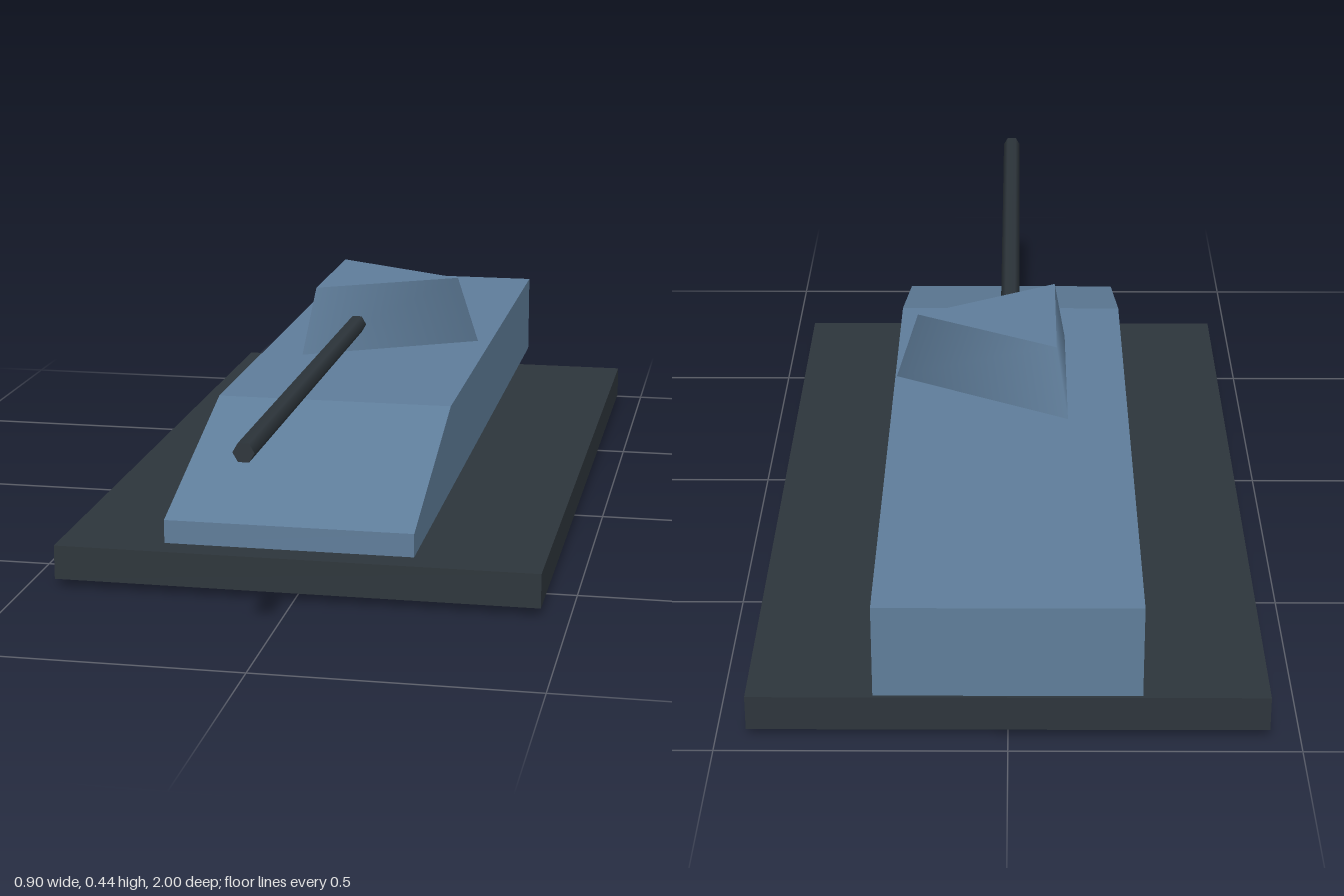
import * as THREE from 'three';

const material = (name, color) => {
  const m = new THREE.MeshStandardMaterial({ color });
  m.name = name;
  return m;
};

export function createModel() {
  const model = new THREE.Group();
  model.name = 'hoverTank';

  const blue = material('armour blue', 0x5f7d9a);
  const dark = material('dark steel', 0x2d353b);
  const teal = material('hover teal', 0x7fbccf);

  const add = (name, geometry, mat, x, y, z) => {
    const mesh = new THREE.Mesh(geometry, mat);
    mesh.name = name;
    mesh.position.set(x, y, z);
    model.add(mesh);
    return mesh;
  };

  // Box given by its width and its y and z ranges
  const addBox = (name, mat, width, y0, y1, z0, z1) =>
    add(name, new THREE.BoxGeometry(width, y1 - y0, z1 - z0), mat, 0, (y0 + y1) / 2, (z0 + z1) / 2);

  // Hover pad and the wide skirt above it
  addBox('hoverPad', teal, 0.717, 0, 0.015, -0.88, 0.552);
  addBox('skirt', dark, 0.896, 0.015, 0.079, -0.957, 0.628);

  // Hull: side profile with a sloped nose, extruded across x
  const hullWidth = 0.454;
  const profile = new THREE.Shape(
    [[-1, 0.11], [0.67, 0.11], [0.67, 0.153], [0.25, 0.279], [-1, 0.279]]
      .map(([z, y]) => new THREE.Vector2(-z, y))
  );
  const hull = new THREE.ExtrudeGeometry(profile, { depth: hullWidth, bevelEnabled: false });
  hull.translate(0, 0, -hullWidth / 2);
  hull.rotateY(Math.PI / 2);
  add('hull', hull, blue, 0, 0, 0);

  // Three-sided tapered turret, one corner towards +x
  const turret = new THREE.CylinderGeometry(0.177, 0.22, 0.131, 3, 1, false, Math.PI / 2);
  add('turret', turret, blue, 0, 0.379, -0.166);

  // Six-sided gun barrel along z
  const barrel = new THREE.CylinderGeometry(0.0185, 0.0185, 0.987, 6, 1, false, Math.PI / 2);
  barrel.rotateX(Math.PI / 2);
  add('barrel', barrel, dark, 0, 0.379, 0.5065);

  return model;
}
